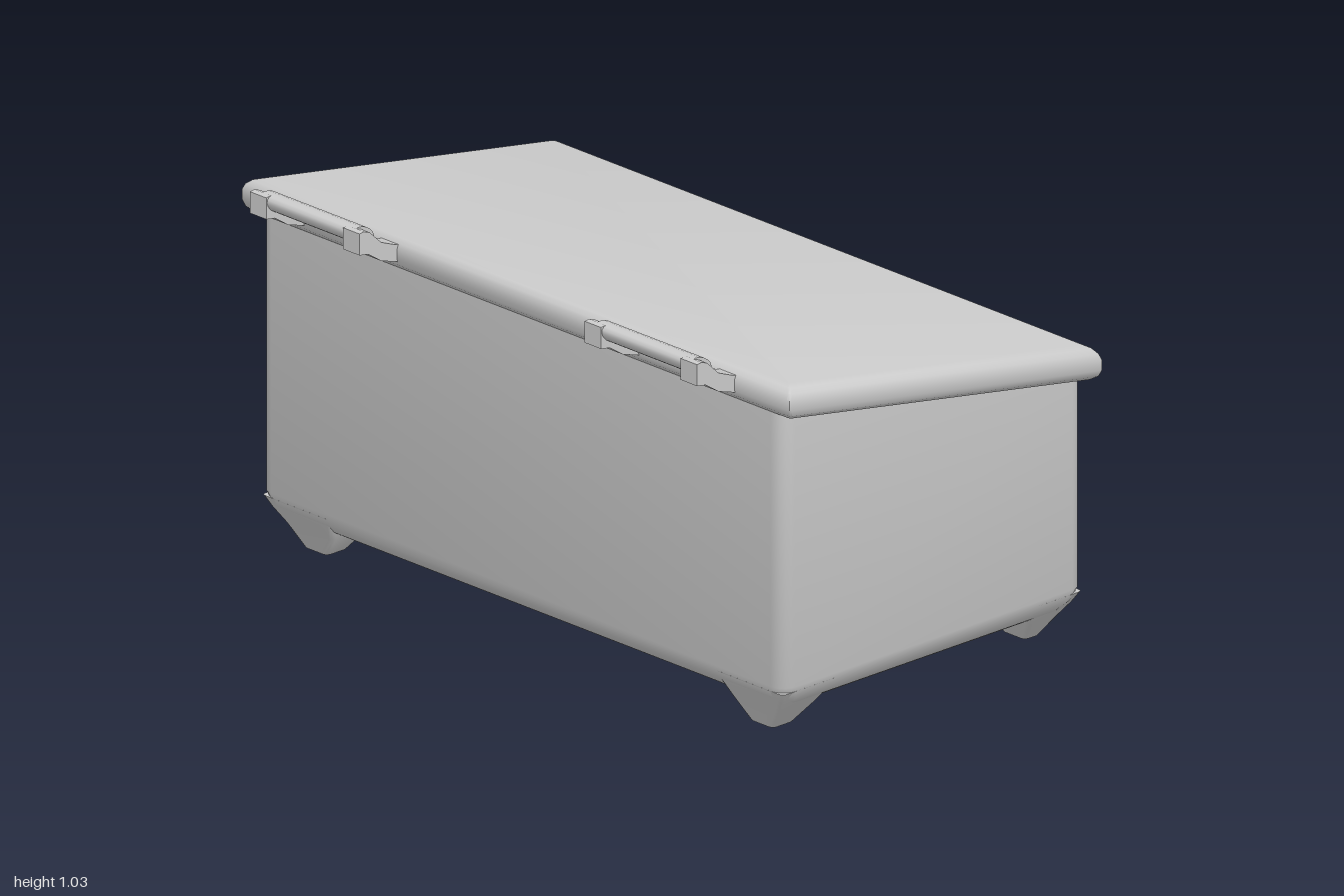
import * as THREE from 'three';
import { toCreasedNormals } from 'three/addons/utils/BufferGeometryUtils.js';

const material = new THREE.MeshStandardMaterial({ color: 0xcccccc });

// Height of the middle of the sloping lid at a given x
const lidHeight = (x) => 0.8535 - 0.172 * x;

// Rounded rectangle, counter-clockwise from above; height is a function of x
function ring(x0, x1, z0, z1, radius, height, segments = 5) {
  const points = [];
  const corners = [[x1 - radius, z0 + radius], [x0 + radius, z0 + radius],
    [x0 + radius, z1 - radius], [x1 - radius, z1 - radius]];
  corners.forEach(([cx, cz], c) => {
    for (let i = 0; i <= segments; i++) {
      const a = (c + i / segments) * Math.PI / 2;
      const x = cx + radius * Math.cos(a);
      points.push([x, height(x), cz - radius * Math.sin(a)]);
    }
  });
  return points;
}

// Skin a stack of rings from bottom to top and close both ends
function loft(rings, crease = 0.75) {
  const n = rings[0].length;
  const positions = rings.flat(2);
  const index = [];
  for (let r = 0; r < rings.length - 1; r++) {
    for (let i = 0; i < n; i++) {
      const a = r * n + i, b = r * n + (i + 1) % n;
      index.push(a, b, b + n, a, b + n, a + n);
    }
  }
  const top = (rings.length - 1) * n;
  for (let i = 1; i < n - 1; i++) {
    index.push(0, i + 1, i, top, top + i, top + i + 1);
  }
  const geometry = new THREE.BufferGeometry();
  geometry.setAttribute('position', new THREE.Float32BufferAttribute(positions, 3));
  geometry.setIndex(index);
  return toCreasedNormals(geometry, crease);
}

function add(parent, name, geometry) {
  const mesh = new THREE.Mesh(geometry, material);
  mesh.name = name;
  parent.add(mesh);
  return mesh;
}

function createHandle(z0, z1) {
  const handle = new THREE.Group();
  handle.name = 'handle';
  // Bent arms
  const profile = new THREE.Shape([
    [-0.61, 0.967], [-0.58, 0.962], [-0.535, 0.932], [-0.45, 0.905],
    [-0.45, 0.955], [-0.485, 0.962], [-0.535, 0.982], [-0.575, 1.02],
    [-0.595, 1.027], [-0.61, 1.025],
  ].map(([x, y]) => new THREE.Vector2(x, y)));
  const width = 0.06;
  for (const z of [z0, z1 - width]) {
    const arm = new THREE.ExtrudeGeometry(profile, { depth: width, bevelEnabled: false });
    add(handle, 'handleArm', arm).position.z = z;
  }
  // Flattened grip bar
  const grip = new THREE.CylinderGeometry(1, 1, z1 - z0 - width, 16);
  grip.rotateX(Math.PI / 2);
  grip.scale(0.041, 0.024, 1);
  grip.rotateZ(-0.45);
  add(handle, 'handleGrip', grip).position.set(-0.569, 1.0, (z0 + z1) / 2);
  return handle;
}

export function createModel() {
  const group = new THREE.Group();

  // Tub with a soft lower edge, cut to the slope of the lid
  const tubRing = (inset, height) =>
    ring(-0.46 + inset, 0.59 - inset, -0.955 + inset, 0.955 - inset, 0.045, height);
  const tubLevels = [[0.062, 0.085], [0.07, 0.06], [0.085, 0.035], [0.11, 0.012], [0.145, 0]];
  const tubRings = tubLevels.map(([y, inset]) => tubRing(inset, () => y));
  tubRings.push(tubRing(0, lidHeight));
  add(group, 'tub', loft(tubRings));

  // Overhanging lid with a rounded rim and tight corners
  const lidLevels = [[-0.047, 0.035], [-0.043, 0.02], [-0.032, 0.006], [-0.015, 0],
    [0.012, 0], [0.028, 0.006], [0.04, 0.018], [0.047, 0.036]];
  add(group, 'lid', loft(lidLevels.map(([v, inset]) =>
    ring(-0.48 + inset, 0.61 - inset, -1 + inset, 1 - inset, 0.008, (x) => lidHeight(x) + v, 2))));

  // Tapered feet: [y, outer x, inner x, outer z, inner z]
  const footLevels = {
    leftFoot: [[0, 0.527, 0.475, 0.855, 0.77], [0.06, 0.553, 0.447, 0.9, 0.725],
      [0.1, 0.575, 0.43, 0.93, 0.71], [0.13, 0.585, 0.42, 0.95, 0.7]],
    rightFoot: [[0, -0.4, -0.325, 0.855, 0.77], [0.06, -0.422, -0.285, 0.9, 0.725],
      [0.1, -0.443, -0.27, 0.93, 0.71], [0.13, -0.455, -0.26, 0.95, 0.7]],
  };
  for (const [name, levels] of Object.entries(footLevels)) {
    for (const side of [-1, 1]) {
      add(group, name, loft(levels.map(([y, xa, xb, za, zb]) => ring(
        Math.min(xa, xb), Math.max(xa, xb),
        Math.min(side * za, side * zb), Math.max(side * za, side * zb),
        0.012, () => y, 2))));
    }
  }

  // Pair of handles on the high edge
  group.add(createHandle(-0.83, -0.43), createHandle(0.39, 0.8));
  return group;
}
